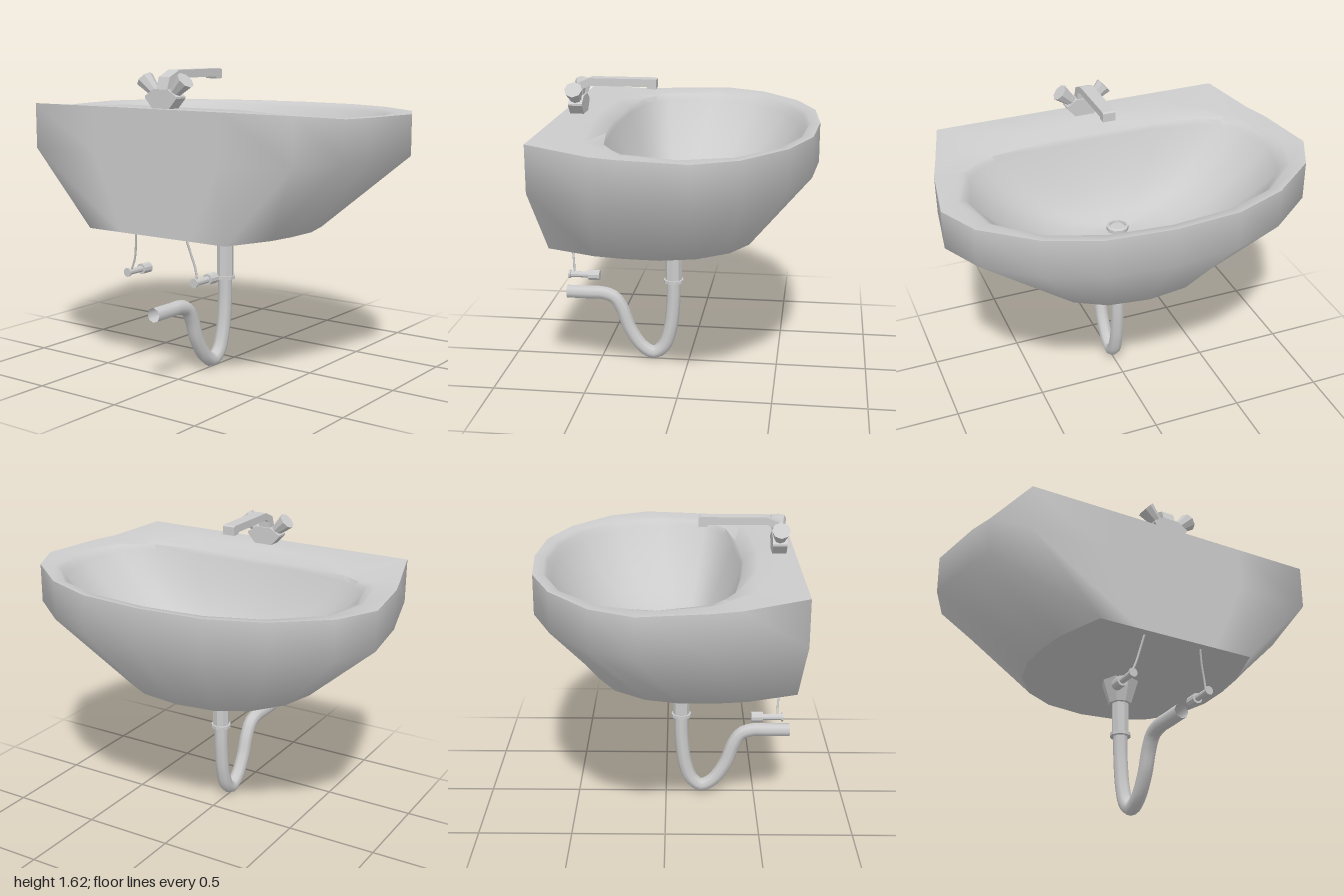
import * as THREE from 'three';
import { toCreasedNormals } from 'three/addons/utils/BufferGeometryUtils.js';

const material = new THREE.MeshStandardMaterial({ color: 0xcccccc, side: THREE.DoubleSide });

function add(parent, name, geometry, x = 0, y = 0, z = 0) {
  const mesh = new THREE.Mesh(geometry, material);
  mesh.name = name;
  mesh.position.set(x, y, z);
  parent.add(mesh);
  return mesh;
}

// Half outlines [x, z] from the rounded front (-z) to the middle of the wall side (+z)
const OUTER = [[0, -0.7], [0.35, -0.67], [0.63, -0.56], [0.89, -0.35], [1, -0.13],
  [0.95, 0.22], [0.91, 0.36], [0.82, 0.68], [0.4, 0.68], [0, 0.68]];
const INNER = [[0, -0.63], [0.31, -0.6], [0.58, -0.5], [0.79, -0.3], [0.86, -0.04],
  [0.79, 0.22], [0.71, 0.285], [0.61, 0.34], [0.35, 0.38], [0, 0.41]];
const BOTTOM = [[0, -0.38], [0.22, -0.35], [0.38, -0.26], [0.5, -0.1], [0.55, 0.08],
  [0.55, 0.26], [0.53, 0.42], [0.44, 0.68], [0.22, 0.68], [0, 0.68]];
const DRAIN_Z = 0.08;
const FLOOR = 0.95;

// Mirrors a half outline into a closed ring of [x, y, z]
function ring(half, heightAt) {
  const right = half.map(([x, z], i) => [x, heightAt(i, z), z]);
  const left = right.slice(1, -1).reverse().map(([x, y, z]) => [-x, y, z]);
  return [...right, ...left];
}

const shrink = (half, k) => half.map(([x, z]) => [x * k, DRAIN_Z + (z - DRAIN_Z) * k]);

function loft(rings, crease) {
  const n = rings[0].length;
  const index = [];
  for (let r = 0; r < rings.length - 1; r++) {
    for (let i = 0; i < n; i++) {
      const a = r * n + i, b = r * n + (i + 1) % n;
      index.push(a, b, a + n, b, b + n, a + n);
    }
  }
  const geometry = new THREE.BufferGeometry();
  geometry.setAttribute('position', new THREE.Float32BufferAttribute(rings.flat(2), 3));
  geometry.setIndex(index);
  return toCreasedNormals(geometry, crease);
}

function createBasin() {
  const basin = new THREE.Group();
  basin.name = 'basin';
  const rim = ring(OUTER, (i) => (i >= 7 ? 1.43 : 1.4));
  const innerY = (i) => (i === 9 ? 1.38 : 1.385 + INNER[i][1] * 0.02);

  // bowl, from the drain up to its edge; steep at the front, gentler at the back
  const bowl = [0.05, 0.2, 0.35, 0.5, 0.62, 0.74, 0.84, 0.92, 0.97, 1].map((k) =>
    ring(shrink(INNER, k), (i) =>
      FLOOR + (innerY(i) - FLOOR) * Math.pow(k, 2.4 - 0.7 * INNER[i][1])));
  const deck = INNER.map(([x, z], i) => [
    x + (OUTER[i][0] - x) * 0.27, z + (OUTER[i][1] - z) * 0.27]);
  const deckStep = ring(deck, (i) => (i >= 8 ? 1.428 : i === 7 ? 1.41 : 1.395));
  add(basin, 'bowlAndRim', loft([...bowl, deckStep, rim], 0.9));

  // upright wall running smoothly into the sloping underside
  const baseY = (i, z) => 0.784 + z * 0.009;
  const base = ring(BOTTOM, baseY);
  add(basin, 'outerWall', loft([rim, ring(OUTER, () => 1.19), base], Math.PI));
  add(basin, 'base', loft([base, ring(shrink(BOTTOM, 0.05), baseY)], 0.5));
  return basin;
}

function cylinder(top, bottom, height, sides) {
  return toCreasedNormals(new THREE.CylinderGeometry(top, bottom, height, sides), 0.6);
}

// Extrudes a profile, centred on its depth
function slab(points, depth) {
  const shape = new THREE.Shape(points.map(([x, y]) => new THREE.Vector2(x, y)));
  return new THREE.ExtrudeGeometry(shape, { depth, bevelEnabled: false }).translate(0, 0, -depth / 2);
}

function tube(points, radius, segments, sides) {
  const curve = new THREE.CatmullRomCurve3(points.map((p) => new THREE.Vector3(...p)));
  return new THREE.TubeGeometry(curve, segments, radius, sides);
}

function createTap() {
  const tap = new THREE.Group();
  tap.name = 'tap';
  add(tap, 'tapBase', slab([[-0.05, 1.425], [0.05, 1.425], [0.1, 1.48], [0.1, 1.49],
    [0.045, 1.525], [-0.045, 1.525], [-0.1, 1.49], [-0.1, 1.48]], 0.075), 0.008, 0, 0.595);
  // spout profile drawn as [-z, y], then turned to reach out over the bowl
  const spout = slab([[-0.63, 1.5], [-0.57, 1.5], [-0.565, 1.56], [-0.53, 1.577],
    [-0.22, 1.577], [-0.215, 1.566], [-0.17, 1.566], [-0.17, 1.612],
    [-0.18, 1.618], [-0.525, 1.618], [-0.6, 1.585]], 0.07);
  add(tap, 'spout', spout.rotateY(Math.PI / 2), 0.008);
  for (const side of [-1, 1]) {
    const handle = add(tap, side > 0 ? 'leftHandle' : 'rightHandle',
      cylinder(0.048, 0.028, 0.098, 8), 0.008 + side * 0.095, 1.538, 0.595);
    handle.rotation.z = -side * 0.82;
  }
  return tap;
}

function createWaste() {
  const waste = new THREE.Group();
  waste.name = 'waste';
  // raised drain fitting with a recessed plug
  const drain = [[0.06, -0.03], [0.06, 0.022], [0.045, 0.028], [0.043, 0.016], [0, 0.016]];
  add(waste, 'drainRing', toCreasedNormals(new THREE.LatheGeometry(
    drain.map(([x, y]) => new THREE.Vector2(x, y)), 10), 0.7), 0, FLOOR, DRAIN_Z);
  add(waste, 'tailFunnel', cylinder(0.105, 0.062, 0.135, 8), 0, 0.7275, DRAIN_Z + 0.005);
  add(waste, 'tailPipe', cylinder(0.046, 0.046, 0.2, 8), 0, 0.57, DRAIN_Z + 0.005);
  add(waste, 'collar', cylinder(0.056, 0.056, 0.018, 10), 0, 0.48, DRAIN_Z + 0.005);
  add(waste, 'trapPipe', tube([[0, 0.48, 0.085], [0, 0.34, 0.088], [0, 0.18, 0.108],
    [0, 0.08, 0.145], [0, 0.04, 0.2], [0, 0.075, 0.268], [0, 0.18, 0.338],
    [0, 0.3, 0.382], [0, 0.365, 0.425], [0, 0.388, 0.49], [0, 0.388, 0.56],
    [0, 0.388, 0.695]], 0.039, 44, 8));
  return waste;
}

function createSupply(side) {
  const supply = new THREE.Group();
  supply.name = side > 0 ? 'leftSupply' : 'rightSupply';
  const x = side * 0.22 - 0.01, y = 0.57;
  add(supply, 'supplyTube', tube([[side * 0.163, 0.8, 0.635], [side * 0.182, 0.71, 0.615],
    [side * 0.2, 0.64, 0.605], [x, y, 0.602]], 0.006, 12, 6));
  // valve pieces along z: [name, radius, z from, z to]
  for (const [name, radius, from, to] of [['valveFlange', 0.024, 0.622, 0.632],
    ['valveBody', 0.017, 0.52, 0.625], ['valveKnob', 0.029, 0.46, 0.522]]) {
    add(supply, name, cylinder(radius, radius, to - from, 10).rotateX(Math.PI / 2),
      x, y, (from + to) / 2);
  }
  return supply;
}

export function createModel() {
  const model = new THREE.Group();
  model.name = 'washbasin';
  model.add(createBasin(), createTap(), createWaste(), createSupply(1), createSupply(-1));
  return model;
}
